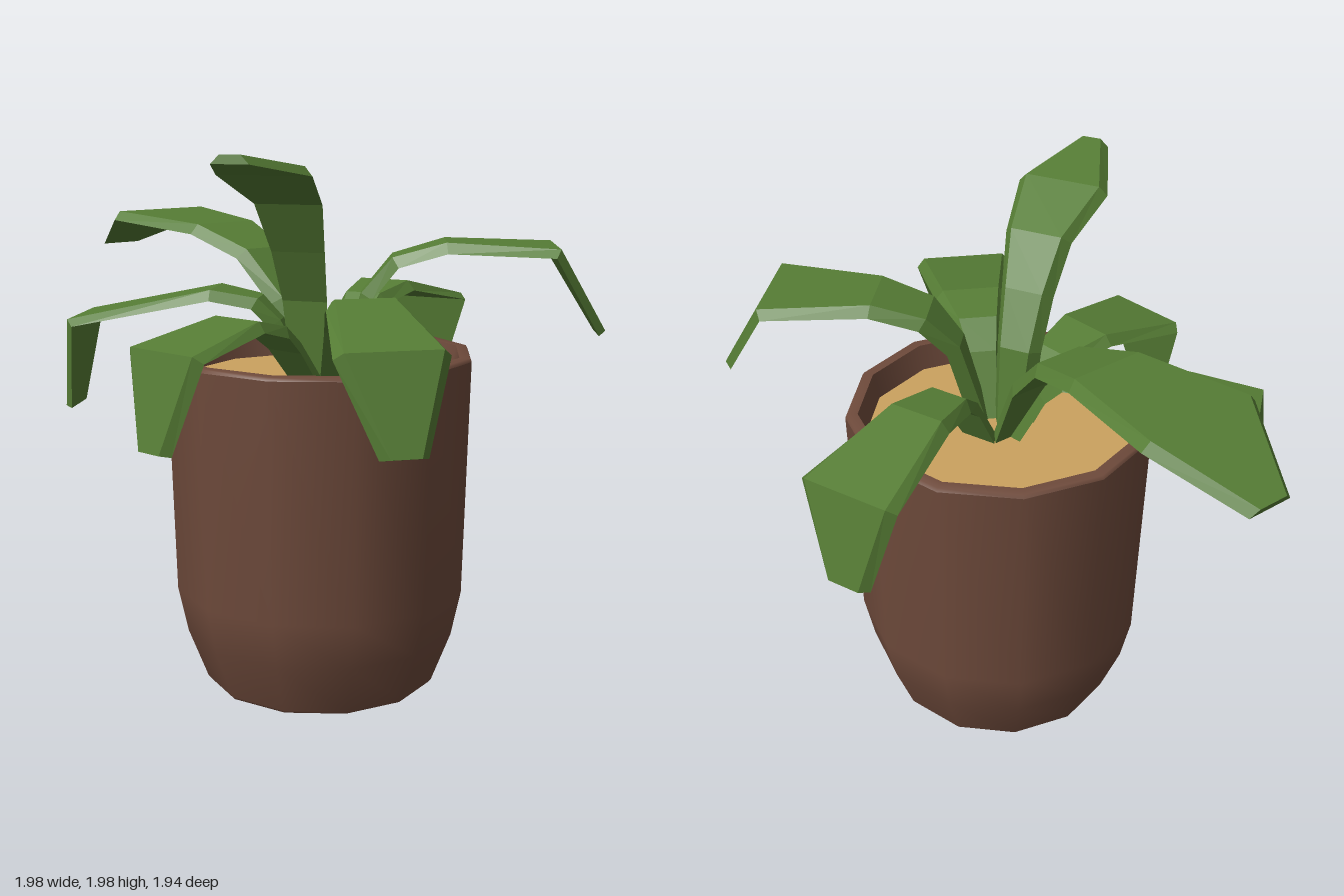
import * as THREE from 'three';

const SIDES = 12;
const POT_X = -0.03;

function material(name, color, extra = {}) {
  const m = new THREE.MeshStandardMaterial({ color, ...extra });
  m.name = name;
  return m;
}

// Each leaf is a chain of sections from base to tip: [x, y, z, width].
const LEAVES = {
  rightLeaf: [[0.02, 1.13, 0.05, 0.12], [0.12, 1.47, 0.05, 0.16], [0.23, 1.6, 0.04, 0.23], [0.42, 1.655, 0.04, 0.28], [0.81, 1.64, 0.05, 0.41], [0.99, 1.34, 0.05, 0.15]],
  backLeftLeaf: [[-0.03, 1.13, -0.02, 0.14], [-0.13, 1.43, -0.11, 0.18], [-0.25, 1.6, -0.22, 0.24], [-0.42, 1.68, -0.4, 0.33], [-0.72, 1.71, -0.71, 0.47], [-0.94, 1.58, -0.93, 0.17]],
  backRightLeaf: [[0.01, 1.13, -0.03, 0.13], [0.08, 1.34, -0.13, 0.16], [0.12, 1.43, -0.24, 0.2], [0.2, 1.46, -0.42, 0.26], [0.37, 1.37, -0.78, 0.38], [0.38, 1.04, -0.84, 0.18]],
  leftLeaf: [[-0.05, 1.13, -0.02, 0.13], [-0.17, 1.36, -0.03, 0.16], [-0.25, 1.44, -0.04, 0.2], [-0.42, 1.47, -0.07, 0.27], [-0.94, 1.36, -0.12, 0.38], [-0.985, 1.02, -0.11, 0.18]],
  frontLeftLeaf: [[-0.04, 1.13, 0.02, 0.13], [-0.13, 1.3, 0.13, 0.16], [-0.19, 1.37, 0.2, 0.2], [-0.3, 1.41, 0.33, 0.27], [-0.52, 1.34, 0.61, 0.36], [-0.56, 1.01, 0.66, 0.16]],
  tallLeaf: [[-0.05, 1.13, 0.0, 0.14], [-0.07, 1.45, 0.04, 0.17], [-0.09, 1.64, 0.13, 0.2], [-0.12, 1.82, 0.23, 0.25], [-0.19, 1.93, 0.44, 0.34], [-0.27, 1.975, 0.74, 0.13]],
  frontRightLeaf: [[0.02, 1.13, 0.03, 0.13], [0.06, 1.37, 0.15, 0.16], [0.09, 1.46, 0.24, 0.2], [0.14, 1.49, 0.4, 0.27], [0.24, 1.39, 0.86, 0.38], [0.28, 1.07, 0.94, 0.16]],
};

// Trapezoid sections swept along the path, with both ends closed.
function leafGeometry(sections) {
  const points = sections.map(([x, y, z]) => new THREE.Vector3(x, y, z));
  const last = points.length - 1;
  const heading = points[last].clone().sub(points[0]).setY(0).normalize();
  const side = new THREE.Vector3(0, 1, 0).cross(heading);
  const positions = [];
  const index = [];
  points.forEach((p, i) => {
    const tangent = new THREE.Vector3();
    if (i > 0) tangent.add(p.clone().sub(points[i - 1]).normalize());
    if (i < last) tangent.add(points[i + 1].clone().sub(p).normalize());
    const up = tangent.normalize().cross(side).normalize();
    const half = sections[i][3] / 2;
    const thick = 0.05 - 0.02 * (i / last);
    const corners = [[half - 0.03, 0], [-half + 0.03, 0], [-half, -thick], [half, -thick]];
    for (const [s, u] of corners) {
      const v = p.clone().addScaledVector(side, s).addScaledVector(up, u);
      positions.push(v.x, v.y, v.z);
    }
  });
  for (let i = 0; i < last; i++) {
    for (let j = 0; j < 4; j++) {
      const a = i * 4 + j, b = i * 4 + (j + 1) % 4;
      index.push(a, b, a + 4, b, b + 4, a + 4);
    }
  }
  const e = last * 4;
  index.push(0, 2, 1, 0, 3, 2, e, e + 1, e + 2, e, e + 2, e + 3);
  const geometry = new THREE.BufferGeometry();
  geometry.setAttribute('position', new THREE.Float32BufferAttribute(positions, 3));
  geometry.setIndex(index);
  const flat = geometry.toNonIndexed();
  flat.computeVertexNormals();
  return flat;
}

function lathe(profile) {
  const points = profile.map(([r, y]) => new THREE.Vector2(r, y));
  return new THREE.LatheGeometry(points, SIDES, Math.PI / SIDES);
}

export function createModel() {
  const model = new THREE.Group();
  model.name = 'pottedPlant';
  const clay = material('brown clay', 0x6e4a3b);
  const soilColor = material('tan soil', 0xcba25f);
  const green = material('leaf green', 0x567d35, { flatShading: true });

  const add = (parent, name, geometry, mat) => {
    const mesh = new THREE.Mesh(geometry, mat);
    mesh.name = name;
    parent.add(mesh);
    return mesh;
  };

  // Pot: separate lathes keep the rim and base edges crisp.
  const pot = new THREE.Group();
  pot.name = 'pot';
  pot.position.x = POT_X;
  model.add(pot);
  add(pot, 'potBase', lathe([[0, 0], [0.425, 0]]), clay);
  add(pot, 'potWall', lathe([[0.425, 0], [0.435, 0.012], [0.507, 0.2], [0.543, 0.37], [0.565, 1.232]]), clay);
  add(pot, 'potRim', lathe([[0.565, 1.232], [0.558, 1.245], [0.52, 1.245]]), clay);
  add(pot, 'potInnerWall', lathe([[0.52, 1.245], [0.495, 1.14]]), clay);

  // Soil
  const soil = new THREE.CircleGeometry(0.498, SIDES, Math.PI / SIDES);
  soil.rotateX(-Math.PI / 2);
  add(pot, 'soil', soil, soilColor).position.y = 1.15;

  // Leaves
  const leaves = new THREE.Group();
  leaves.name = 'leaves';
  model.add(leaves);
  for (const [name, sections] of Object.entries(LEAVES)) {
    add(leaves, name, leafGeometry(sections), green);
  }
  return model;
}
